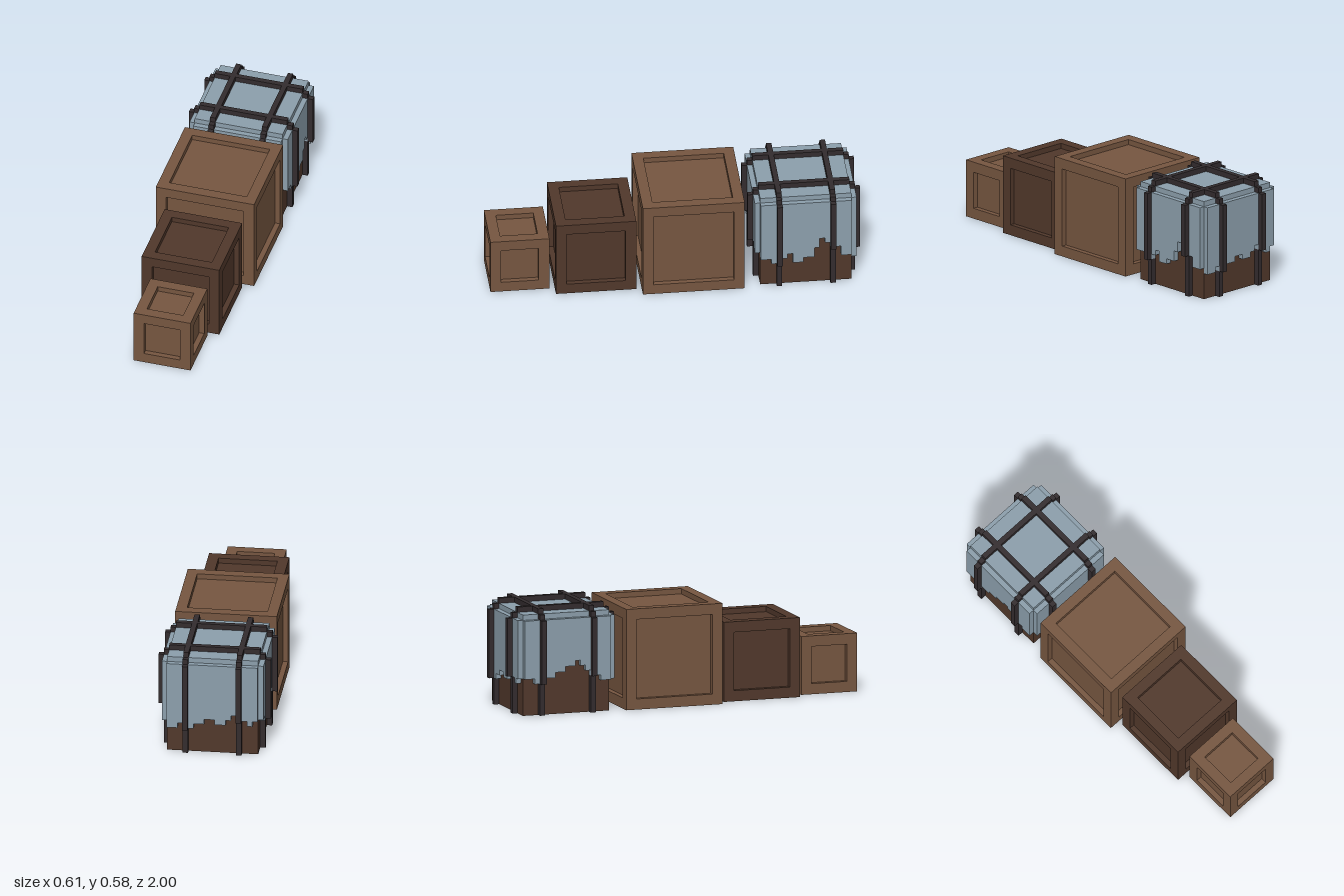
import * as THREE from 'three';

const U = 2 / 69; // one grid step; all sizes below are counted in steps

const mat = (name, color) => Object.assign(new THREE.MeshStandardMaterial({ color }), { name });

function box(parent, name, material, w, h, d, x, y, z) {
  const mesh = new THREE.Mesh(new THREE.BoxGeometry(w * U, h * U, d * U), material);
  mesh.name = name;
  mesh.position.set(x * U, y * U, z * U);
  parent.add(mesh);
  return mesh;
}

// Cube crate with raised 2-step frame and panels sunk by one step on all six sides
function crate(name, size, z, material) {
  const g = new THREE.Group();
  g.name = name;
  g.position.set(0, size / 2 * U, z * U);
  box(g, 'panels', material, size - 2, size - 2, size - 2, 0, 0, 0);
  const e = size / 2 - 1, len = size - 4;
  for (const a of [-e, e]) {
    for (const b of [-e, e]) {
      box(g, 'post', material, 2, size, 2, a, 0, b);
      box(g, 'railX', material, len, 2, 2, 0, a, b);
      box(g, 'railZ', material, 2, 2, len, a, b, 0);
    }
  }
  return g;
}

// One cloth side with a ragged hem; hem heights run left to right seen from outside
function clothSide(name, hem, cloth, strap) {
  const g = new THREE.Group();
  g.name = name;
  const shape = new THREE.Shape();
  shape.moveTo(-8.5 * U, 18 * U);
  hem.forEach((h, i) => {
    shape.lineTo((i - 8.5) * U, h * U);
    shape.lineTo((i - 7.5) * U, h * U);
  });
  shape.lineTo(8.5 * U, 18 * U);
  shape.closePath();
  const geo = new THREE.ExtrudeGeometry(shape, { depth: U, bevelEnabled: false });
  const sheet = new THREE.Mesh(geo, cloth);
  sheet.name = 'clothSheet';
  sheet.position.z = 8.5 * U;
  g.add(sheet);

  // Straps lie over the cloth, then step in against the crate below the hem
  for (const i of [3, 13]) {
    const x = i - 8, h = hem[i];
    box(g, 'strapUpper', strap, 1, 18 - h, 1, x, (18 + h) / 2, 10);
    box(g, 'strapLower', strap, 1, h, 1, x, h / 2, 9);
    box(g, 'strapBend', strap, 1, 1, 1, x, 18.5, 9);
  }
  return g;
}

export function createModel() {
  const lightWood = mat('lightWood', 0x765640);
  const darkWood = mat('darkWood', 0x51382b);
  const cloth = mat('cloth', 0x8c9fac);
  const strap = mat('strap', 0x332c2e);

  const model = new THREE.Group();
  model.name = 'crateRow';
  model.add(
    crate('smallCrate', 11, 29, lightWood),
    crate('mediumCrate', 15, 15, darkWood),
    crate('largeCrate', 19, -3, lightWood)
  );

  // Covered crate
  const covered = new THREE.Group();
  covered.name = 'coveredCrate';
  covered.position.z = -24 * U;
  model.add(covered);
  box(covered, 'crateBody', darkWood, 17, 18, 17, 0, 9, 0);
  box(covered, 'clothTop', cloth, 17, 1, 17, 0, 18.5, 0);

  const hems = {
    front: [6, 6, 7, 8, 8, 9, 9, 8, 8, 7, 7, 8, 9, 8, 8, 7, 7],
    right: [6, 6, 5, 5, 6, 7, 5, 5, 6, 6, 8, 10, 9, 8, 8, 6, 6],
    back: [5, 5, 6, 5, 5, 6, 6, 7, 7, 6, 6, 7, 8, 7, 7, 6, 7],
    left: [7, 7, 6, 6, 7, 7, 8, 8, 9, 9, 10, 9, 8, 7, 7, 6, 6],
  };
  Object.entries(hems).forEach(([name, hem], i) => {
    const side = clothSide(name + 'Cover', hem, cloth, strap);
    side.rotation.y = i * Math.PI / 2;
    covered.add(side);
  });

  // Straps crossing over the top
  for (const p of [-5, 5]) {
    box(covered, 'topStrapX', strap, 17, 1, 1, 0, 19.5, p);
    for (const [z, len] of [[-7, 3], [0, 9], [7, 3]]) {
      box(covered, 'topStrapZ', strap, 1, 1, len, p, 19.5, z);
    }
  }
  return model;
}
